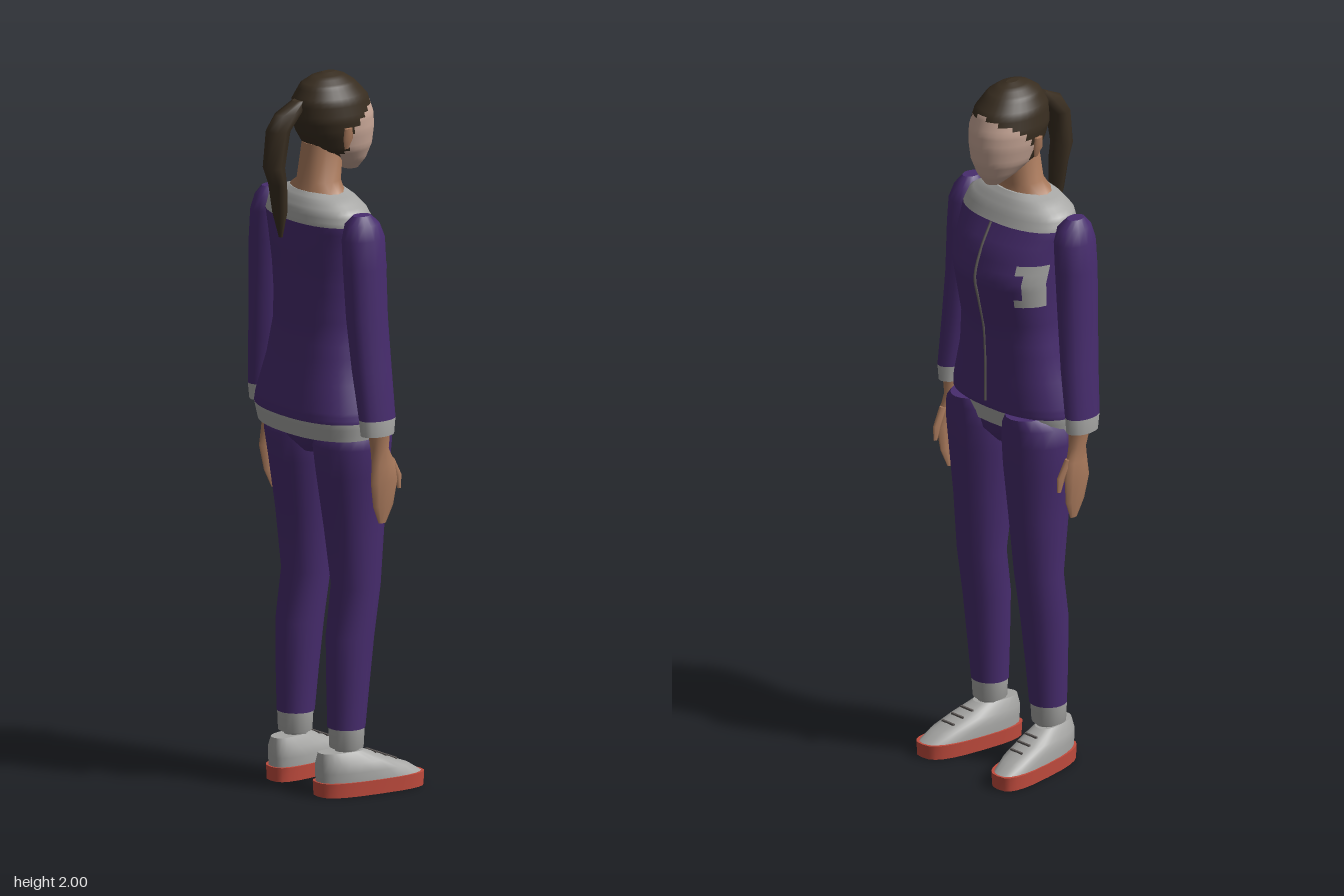
import * as THREE from 'three';

const mat = (name, color) => {
  const m = new THREE.MeshStandardMaterial({ color });
  m.name = name;
  return m;
};

// Loft through level rings, listed bottom to top: [y, xMin, xMax, zMin, zMax].
// pick(x, y, z) chooses the material index of each face; pow squares off the rings.
function loft(name, rows, mats, { segs = 16, sub = 1, pow = 2, pick = () => 0 } = {}) {
  const rings = [];
  rows.forEach((r, i) => {
    if (i === rows.length - 1) return rings.push(r);
    for (let k = 0; k < sub; k++) rings.push(r.map((v, c) => v + (rows[i + 1][c] - v) * k / sub));
  });
  const pos = [];
  const bend = v => Math.sign(v) * Math.abs(v) ** (2 / pow);
  const ring = ([y, x0, x1, z0, z1]) => {
    for (let j = 0; j < segs; j++) {
      const t = j / segs * Math.PI * 2;
      pos.push((x0 + x1) / 2 + (x1 - x0) / 2 * bend(Math.cos(t)), y,
        (z0 + z1) / 2 + (z1 - z0) / 2 * bend(Math.sin(t)));
    }
  };
  rings.forEach(ring);
  const faces = mats.map(() => []);
  const at = (i, c) => pos[i * 3 + c];
  for (let i = 0; i < rings.length - 1; i++) {
    for (let j = 0; j < segs; j++) {
      const a = i * segs + j, b = i * segs + (j + 1) % segs, c = a + segs, d = b + segs;
      const mid = k => (at(a, k) + at(b, k) + at(c, k) + at(d, k)) / 4;
      faces[pick(mid(0), mid(1), mid(2))].push(a, c, b, b, c, d);
    }
  }
  // End caps with their own vertices, so the rims stay crisp
  [rings[0], rings[rings.length - 1]].forEach((r, top) => {
    const s = pos.length / 3;
    ring(r);
    pos.push((r[1] + r[2]) / 2, r[0], (r[3] + r[4]) / 2);
    const m = pick((r[1] + r[2]) / 2, r[0], (r[3] + r[4]) / 2);
    for (let j = 0; j < segs; j++) {
      const p = s + j, q = s + (j + 1) % segs;
      faces[m].push(s + segs, top ? q : p, top ? p : q);
    }
  });
  const geo = new THREE.BufferGeometry();
  geo.setAttribute('position', new THREE.Float32BufferAttribute(pos, 3));
  geo.setIndex(faces.flat());
  let start = 0;
  faces.forEach((f, i) => { geo.addGroup(start, f.length, i); start += f.length; });
  geo.computeVertexNormals();
  const mesh = new THREE.Mesh(geo, mats.length > 1 ? mats : mats[0]);
  mesh.name = name;
  return mesh;
}

// Rings centred on x = 0: [y, halfWidth, zMin, zMax]
const centred = rows => rows.map(([y, w, z0, z1]) => [y, -w, w, z0, z1]);
// Mirror left-side rings for the other side
const sided = (rows, s) => s > 0 ? rows : rows.map(([y, a, b, c, d]) => [y, -b, -a, c, d]);

export function createModel() {
  const purple = mat('purple cloth', 0x472c6e);
  const grey = mat('grey trim', 0xa6a6a4);
  const hair = mat('dark brown hair', 0x382d20);
  const skin = mat('skin', 0xac7c5e);
  const face = mat('pale face', 0xc8a797);
  const red = mat('red sole', 0xc24c3e);
  const dark = mat('zip and laces', 0x5f5a58);
  const model = new THREE.Group();
  model.name = 'standingWoman';
  const add = m => (model.add(m), m);

  // Head: the face lies in front of a hairline that falls from the brow to the jaw
  const hairline = y => y > 1.93 ? -1 : y > 1.85 ? -0.02 - (y - 1.85) * 1.4 : y > 1.79 ? -0.02 : -0.02 + (1.79 - y) * 0.6;
  add(loft('head', centred([
    [1.72, 0.022, -0.105, -0.06], [1.75, 0.053, -0.125, -0.01], [1.79, 0.08, -0.14, 0.055],
    [1.84, 0.093, -0.145, 0.085], [1.88, 0.097, -0.142, 0.1], [1.93, 0.088, -0.125, 0.098],
    [1.97, 0.065, -0.088, 0.075], [1.99, 0.038, -0.058, 0.045], [2, 0.012, -0.03, 0.012],
  ]), [hair, face], { segs: 32, sub: 4, pick: (x, y, z) => z < hairline(y) ? 1 : 0 }));

  // Ponytail: a bunch off the crown, tied in at mid length
  add(loft('ponytail', [
    [1.56, -0.004, 0.008, 0.15, 0.16], [1.63, -0.02, 0.026, 0.14, 0.178], [1.71, -0.033, 0.036, 0.145, 0.185],
    [1.76, -0.03, 0.036, 0.15, 0.208], [1.86, -0.034, 0.036, 0.13, 0.196], [1.905, -0.026, 0.03, 0.085, 0.172],
    [1.935, -0.018, 0.02, 0.075, 0.112],
  ], [hair], { segs: 8 }));

  add(loft('neck', centred([
    [1.65, 0.115, -0.045, 0.1], [1.682, 0.095, -0.03, 0.09], [1.705, 0.063, -0.035, 0.083], [1.81, 0.054, -0.05, 0.07],
  ]), [skin]));

  // Jacket: grey yoke and hem, and a grey patch on one side of the chest
  add(loft('jacket', centred([
    [1.01, 0.208, -0.095, 0.145], [1.06, 0.217, -0.108, 0.157], [1.09, 0.212, -0.11, 0.155],
    [1.2, 0.178, -0.11, 0.134], [1.3, 0.162, -0.116, 0.12], [1.39, 0.165, -0.136, 0.12],
    [1.46, 0.17, -0.15, 0.124], [1.54, 0.176, -0.125, 0.13], [1.605, 0.184, -0.088, 0.13],
    [1.64, 0.172, -0.07, 0.122], [1.668, 0.13, -0.05, 0.105], [1.683, 0.085, -0.035, 0.09],
  ]), [purple, grey], {
    segs: 36, sub: 3, pow: 2.3,
    pick: (x, y, z) => y > 1.605 || y < 1.06 ||
      (x < -0.11 && z > -0.105 && z < -0.03 && y > 1.4 && y < 1.52) ? 1 : 0,
  }));

  // Zip down the chest
  const zipPath = new THREE.CatmullRomCurve3(
    [[1.605, -0.09], [1.54, -0.126], [1.46, -0.151], [1.39, -0.137], [1.3, -0.117], [1.2, -0.111], [1.08, -0.111]]
      .map(([y, z]) => new THREE.Vector3(0, y, z)));
  const zip = add(new THREE.Mesh(new THREE.TubeGeometry(zipPath, 24, 0.004, 5), dark));
  zip.name = 'zip';

  add(loft('pelvis', centred([
    [0.945, 0.04, -0.06, 0.07], [0.98, 0.12, -0.09, 0.1], [1.04, 0.19, -0.1, 0.125],
  ]), [purple]));

  for (const s of [1, -1]) {
    const part = (name, rows, mats, opt) => add(loft((s > 0 ? 'left' : 'right') + name, sided(rows, s), mats, opt));

    part('Ear', [[1.8, 0.084, 0.09, -0.012, 0.002], [1.83, 0.088, 0.103, -0.02, 0.012], [1.86, 0.09, 0.105, -0.018, 0.01]],
      [skin], { segs: 8 });

    // Sleeve with a grey cuff
    part('Sleeve', [
      [1.035, 0.217, 0.284, -0.038, 0.065], [1.08, 0.214, 0.287, -0.042, 0.07], [1.22, 0.19, 0.276, -0.04, 0.08],
      [1.36, 0.172, 0.268, -0.036, 0.088], [1.5, 0.16, 0.264, -0.036, 0.092], [1.58, 0.155, 0.257, -0.036, 0.092],
      [1.62, 0.162, 0.243, -0.022, 0.082], [1.645, 0.185, 0.225, 0.005, 0.06],
    ], [purple, grey], { pick: (x, y) => y < 1.08 ? 1 : 0 });

    // Hand with thumb
    part('Hand', [
      [0.78, 0.236, 0.246, -0.022, 0.002], [0.83, 0.236, 0.256, -0.043, 0.024], [0.9, 0.238, 0.266, -0.052, 0.036],
      [0.95, 0.232, 0.266, -0.044, 0.03], [0.99, 0.222, 0.266, -0.026, 0.028], [1.045, 0.222, 0.274, -0.028, 0.04],
    ], [skin], { segs: 10 });
    part('Thumb', [
      [0.87, 0.238, 0.248, -0.072, -0.06], [0.91, 0.234, 0.252, -0.072, -0.045], [0.96, 0.236, 0.256, -0.045, -0.02],
    ], [skin], { segs: 6 });

    // Trouser leg
    part('Trouser', [
      [0.185, 0.062, 0.166, -0.036, 0.068], [0.3, 0.056, 0.172, -0.048, 0.07], [0.44, 0.048, 0.178, -0.064, 0.07],
      [0.58, 0.04, 0.184, -0.083, 0.048], [0.75, 0.026, 0.19, -0.098, 0.07], [0.9, 0.01, 0.204, -0.112, 0.092],
      [0.98, 0.006, 0.212, -0.118, 0.104], [1.03, 0.014, 0.205, -0.121, 0.1], [1.06, 0.045, 0.17, -0.121, 0.05],
    ], [purple], { segs: 20 });
    part('AnkleCuff', [
      [0.08, 0.085, 0.145, -0.02, 0.05], [0.124, 0.085, 0.145, -0.02, 0.05], [0.13, 0.068, 0.163, -0.03, 0.064],
      [0.188, 0.066, 0.165, -0.034, 0.067],
    ], [grey]);

    // Shoe: toes turned out by shearing along z
    const shear = m => {
      const p = m.geometry.attributes.position;
      for (let i = 0; i < p.count; i++) p.setX(i, p.getX(i) - s * 0.14 * p.getZ(i));
      m.geometry.computeVertexNormals();
    };
    shear(part('Sole', [[0, 0.062, 0.178, -0.207, 0.108], [0.04, 0.06, 0.18, -0.209, 0.11]], [red], { segs: 24, pow: 2.9 }));
    shear(part('ShoeUpper', [
      [0.04, 0.064, 0.176, -0.203, 0.105], [0.065, 0.065, 0.175, -0.165, 0.106], [0.09, 0.07, 0.17, -0.1, 0.106],
      [0.12, 0.086, 0.152, -0.03, 0.1],
    ], [grey], { segs: 24, pow: 2.5 }));
    for (let i = 0; i < 3; i++) {
      const lace = add(new THREE.Mesh(new THREE.BoxGeometry(0.045, 0.005, 0.006), dark));
      lace.name = 'lace';
      lace.position.set(s * (0.126 + i * 0.004), 0.108 - i * 0.013, -0.06 - i * 0.031);
    }
  }
  return model;
}
